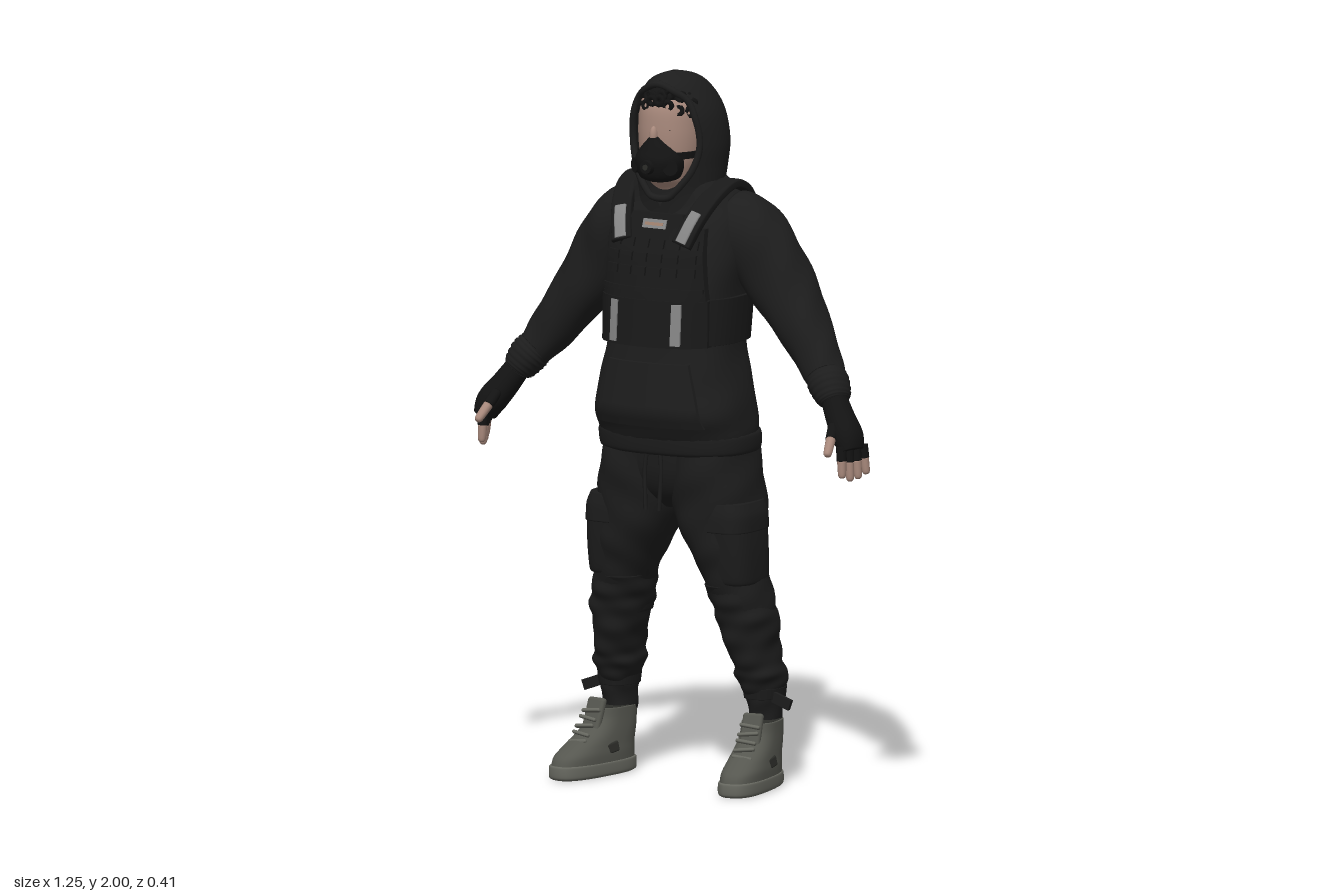
import * as THREE from 'three';
import { RoundedBoxGeometry } from 'three/addons/geometries/RoundedBoxGeometry.js';

const V = (x, y, z) => new THREE.Vector3(x, y, z);
const mat = (name, color, side = THREE.FrontSide) => {
  const m = new THREE.MeshStandardMaterial({ color, side });
  m.name = name;
  return m;
};
const spow = (v, e) => Math.sign(v) * Math.pow(Math.abs(v), e);

// Smooth interpolation through rows of numbers, t from 0 to 1
function sample(rows, t) {
  const f = t * (rows.length - 1), i = Math.min(Math.floor(f), rows.length - 2), u = f - i;
  return rows[i].map((b, k) => {
    const c = rows[i + 1][k], a = (rows[i - 1] || rows[i])[k], d = (rows[i + 2] || rows[i + 1])[k];
    return b + 0.5 * u * (c - a + u * (2 * a - 5 * b + 4 * c - d + u * (3 * (b - c) + d - a)));
  });
}

// Skin over rings [x, y, z, radiusU, radiusW, frontGap]; rings lie flat unless ref is given
function loft(rows, { n = 32, m = rows.length * 6, p = 2.2, ref = null, wave = 0, folds = 0 } = {}) {
  const open = rows[0].length > 5, cols = open ? n + 1 : n, pos = [], idx = [];
  for (let i = 0; i <= m; i++) {
    const t = i / m, [x, y, z, a, b, gap = 0] = sample(rows, t), g = Math.max(gap, 0);
    let U = V(1, 0, 0), W = V(0, 0, 1);
    if (ref) {
      const T = V(...sample(rows, Math.min(t + 0.02, 1))).sub(V(...sample(rows, Math.max(t - 0.02, 0)))).normalize();
      U = T.clone().cross(ref).normalize();
      W = U.clone().cross(T);
    }
    for (let j = 0; j < cols; j++) {
      const th = Math.PI / 2 + g + (j / n) * (2 * Math.PI - 2 * g);
      const k = 1 + wave * Math.sin(3 * th + 8 * t) * Math.sin(25 * t + th) + folds * Math.sin(50 * t + 1.5 * Math.sin(th));
      const q = V(x, y, z).addScaledVector(U, a * k * spow(Math.cos(th), 2 / p)).addScaledVector(W, b * k * spow(Math.sin(th), 2 / p));
      pos.push(q.x, q.y, q.z);
    }
  }
  for (let i = 0; i < m; i++) for (let j = 0; j < n; j++) {
    const a = i * cols + j, b = i * cols + (j + 1) % cols, c = a + cols, d = b + cols;
    idx.push(a, c, b, b, c, d);
  }
  if (!open) for (const [i, flip] of [[0, false], [m, true]]) {
    const r = sample(rows, i / m), c = pos.length / 3;
    pos.push(r[0], r[1], r[2]);
    for (let j = 0; j < n; j++) {
      const a = i * cols + j, b = i * cols + (j + 1) % cols;
      idx.push(c, flip ? b : a, flip ? a : b);
    }
  }
  const geo = new THREE.BufferGeometry();
  geo.setAttribute('position', new THREE.Float32BufferAttribute(pos, 3));
  geo.setIndex(idx);
  geo.computeVertexNormals();
  return geo;
}

function add(parent, name, geo, material, pos = [0, 0, 0], rot = [0, 0, 0], scale = [1, 1, 1]) {
  const mesh = new THREE.Mesh(geo, material);
  mesh.name = name;
  mesh.position.set(...pos);
  mesh.rotation.set(...rot);
  mesh.scale.set(...scale);
  parent.add(mesh);
}

// Copy of a left-hand group reflected to the right
function mirrored(group, name) {
  const out = new THREE.Group();
  out.name = name;
  group.updateMatrixWorld(true);
  group.traverse(o => {
    if (!o.isMesh) return;
    const g = o.geometry.clone().applyMatrix4(o.matrixWorld).scale(-1, 1, 1);
    const src = g.index ? Array.from(g.index.array) : Array.from({ length: g.attributes.position.count }, (_, i) => i);
    for (let i = 0; i < src.length; i += 3) [src[i], src[i + 1]] = [src[i + 1], src[i]];
    g.setIndex(src);
    g.computeVertexNormals();
    add(out, o.name, g, o.material);
  });
  return out;
}

const TORSO = [[0, 0.95, -0.01, 0.22, 0.15], [0, 1.0, 0, 0.228, 0.165], [0, 1.06, 0.014, 0.226, 0.178],
  [0, 1.15, 0.014, 0.207, 0.168], [0, 1.25, 0.008, 0.19, 0.163], [0, 1.38, -0.003, 0.196, 0.163],
  [0, 1.5, -0.02, 0.208, 0.158], [0, 1.58, -0.034, 0.2, 0.14], [0, 1.64, -0.035, 0.172, 0.12], [0, 1.7, -0.02, 0.12, 0.1]];
const TP = 2.5;
function torsoAt(y) {
  let i = 0;
  while (i < TORSO.length - 2 && TORSO[i + 1][1] < y) i++;
  const u = THREE.MathUtils.clamp((y - TORSO[i][1]) / (TORSO[i + 1][1] - TORSO[i][1]), 0, 1);
  return TORSO[i].map((v, k) => v + u * (TORSO[i + 1][k] - v));
}
// Box bent over the chest (side 1) or back (side -1)
function wrap(w, h, d, x, y, side = 1, lift = 0, taper = 0) {
  const g = new THREE.BoxGeometry(w, h, d, Math.ceil(w / 0.02), Math.ceil(h / 0.02), 1), p = g.attributes.position;
  for (let i = 0; i < p.count; i++) {
    const py = p.getY(i) + y, px = p.getX(i) * (1 - taper * (p.getY(i) / h + 0.5)) + x;
    const [, , cz, rx, rz] = torsoAt(py);
    const s = cz + side * rz * Math.pow(Math.max(0, 1 - Math.pow(Math.abs(px) / rx, TP)), 1 / TP);
    p.setXYZ(i, px, py, s + side * lift + p.getZ(i));
  }
  g.computeVertexNormals();
  return g;
}

export function createModel() {
  const model = new THREE.Group();
  model.name = 'hoodedFigure';
  const cloth = mat('hoodie black', 0x1d1d1d, THREE.DoubleSide), pants = mat('trouser black', 0x1c1c1c);
  const vest = mat('vest black', 0x191919), skin = mat('skin', 0xa8897c), dark = mat('hair and mask black', 0x131313);
  const grey = mat('strap grey', 0x868686), tan = mat('patch tan', 0xa0816f), shoe = mat('shoe grey', 0x55564f);
  const sole = mat('sole grey', 0x66675f), panel = mat('shoe dark grey', 0x2c2d29);
  const Z = V(0, 0, 1), X = V(1, 0, 0);

  // Hoodie body, hem and front pocket
  add(model, 'torso', loft(TORSO, { p: TP, wave: 0.012, n: 48 }), cloth);
  add(model, 'hem', loft([[0, 0.935, -0.01, 0.215, 0.15], [0, 0.945, -0.01, 0.23, 0.16], [0, 0.985, -0.008, 0.232, 0.165], [0, 1.0, -0.005, 0.222, 0.158]], { p: TP }), cloth);
  add(model, 'frontPocket', wrap(0.34, 0.18, 0.015, 0, 1.11, 1, 0.004, 0.25), cloth);

  // Head, hood and rim
  add(model, 'head', loft([[0, 1.6, -0.01, 0.06, 0.06], [0, 1.67, 0.005, 0.062, 0.075], [0, 1.71, 0.03, 0.068, 0.085], [0, 1.77, 0.03, 0.086, 0.098],
    [0, 1.85, 0.025, 0.092, 0.108], [0, 1.92, 0.02, 0.084, 0.103], [0, 1.96, 0.015, 0.045, 0.06]]), skin);
  const hood = [[0, 1.57, -0.025, 0.16, 0.12, 0], [0, 1.63, -0.02, 0.135, 0.12, 0], [0, 1.67, -0.014, 0.122, 0.12, 0.38], [0, 1.73, -0.017, 0.126, 0.133, 0.78],
    [0, 1.8, -0.017, 0.132, 0.141, 0.95], [0, 1.88, -0.006, 0.122, 0.141, 0.95], [0, 1.94, 0.004, 0.094, 0.12, 0.8], [0, 1.98, 0.018, 0.058, 0.084, 0], [0, 2.0, 0.026, 0.006, 0.01, 0]];
  add(model, 'hood', loft(hood, { p: 2, n: 40, m: 60 }), cloth);
  const edge = [];
  for (let i = 0; i <= 12; i++) {
    const [, y, z, a, b, gap] = sample(hood, 0.2 + i / 12 * 0.64), g = Math.max(gap, 0);
    edge.push(V(a * Math.sin(g), y, z + b * Math.cos(g)));
  }
  const rim = [...edge, ...edge.slice().reverse().map(v => V(-v.x, v.y, v.z))];
  add(model, 'hoodRim', new THREE.TubeGeometry(new THREE.CatmullRomCurve3(rim, true), 80, 0.01, 8, true), cloth);

  // Face, hair curls and mask
  const ball = new THREE.SphereGeometry(1, 16, 12);
  add(model, 'nose', ball, skin, [0, 1.83, 0.134], [0, 0, 0], [0.012, 0.028, 0.014]);
  for (const s of [-1, 1]) {
    add(model, 'eye', ball, dark, [s * 0.037, 1.847, 0.12], [0, s * 0.35, 0], [0.015, 0.004, 0.005]);
    add(model, 'maskFilter', new THREE.CylinderGeometry(0.021, 0.024, 0.03, 16), dark, [s * 0.05, 1.745, 0.13], [Math.PI / 2, 0, s * -0.6]);
  }
  for (let i = 0; i < 16; i++) {
    const a = (i % 8 - 3.5) / 3.5, row = Math.floor(i / 8);
    add(model, 'hairCurl', new THREE.TorusGeometry(0.011, 0.008, 6, 10), dark,
      [a * 0.08, 1.921 + row * 0.022 - a * a * 0.022 + 0.009 * Math.sin(i * 5), 0.124 - a * a * 0.05 - row * 0.012], [0.3 * Math.sin(i * 3), a * 0.6, i]);
  }
  add(model, 'hairCap', ball, dark, [0, 1.937, 0.04], [0, 0, 0], [0.086, 0.04, 0.075]);
  add(model, 'mask', loft([[0, 1.7, 0.08, 0.035, 0.05], [0, 1.715, 0.09, 0.058, 0.067], [0, 1.76, 0.09, 0.07, 0.08], [0, 1.795, 0.09, 0.052, 0.07], [0, 1.83, 0.098, 0.016, 0.048]]), dark);
  add(model, 'maskValve', new THREE.CylinderGeometry(0.018, 0.023, 0.022, 16), dark, [0, 1.748, 0.168], [Math.PI / 2, 0, 0]);
  add(model, 'maskValveCap', new THREE.CylinderGeometry(0.008, 0.008, 0.004, 12), panel, [0, 1.748, 0.18], [Math.PI / 2, 0, 0]);
  add(model, 'maskStrap', loft([[0, 1.765, 0.03, 0.09, 0.1], [0, 1.785, 0.03, 0.092, 0.102]]), dark);

  // Vest: belt, chest and back panels, webbing, pouch and patches
  const belt = [1.25, 1.265, 1.32, 1.365, 1.38].map(y => { const r = torsoAt(y); return [0, y, r[2], r[3] + 0.01, r[4] + 0.01]; });
  add(model, 'vestBelt', loft(belt, { p: TP, n: 48 }), vest);
  for (const side of [1, -1]) {
    const front = side > 0;
    add(model, front ? 'chestPanel' : 'backPanel', wrap(0.33, 0.2, 0.03, 0, 1.475, side, 0.008, 0.12), vest);
    add(model, 'upperFlap', wrap(0.2, 0.05, 0.026, 0, 1.585, side, 0.01, 0.2), vest);
    add(model, 'patch', wrap(0.075, 0.024, 0.006, 0, 1.583, side, 0.024), grey);
    add(model, 'patchStripe', wrap(0.058, front ? 0.008 : 0.018, 0.004, 0, 1.583, side, 0.027), tan);
  }
  add(model, 'frontPouch', wrap(0.34, 0.13, 0.026, 0, 1.312, 1, 0.015), vest);
  add(model, 'backSeam', wrap(0.3, 0.012, 0.008, 0, 1.5, -1, 0.025), vest);
  for (let r = 0; r < 3; r++) for (let c = 0; c < 6; c++)
    add(model, 'webbing', wrap(0.04, 0.024, 0.01, (c - 2.5) * 0.048, 1.455 + r * 0.038, 1, 0.026), vest);
  add(model, 'chestSeam', wrap(0.32, 0.012, 0.01, 0, 1.405, 1, 0.025), vest);

  // Left side parts, mirrored afterwards
  const left = new THREE.Group();
  left.name = 'leftSide';
  const strap = [[0.095, 1.53, 0.143], [0.118, 1.6, 0.108], [0.14, 1.66, 0.05], [0.148, 1.688, -0.025], [0.14, 1.66, -0.105], [0.12, 1.6, -0.168], [0.1, 1.53, -0.19]];
  const strapPart = (from, to, thick, width) => Array.from({ length: 9 }, (_, i) => [...sample(strap, from + (to - from) * i / 8), thick, width]);
  add(left, 'shoulderStrap', loft(strapPart(0, 1, 0.013, 0.031), { ref: X, p: 5 }), vest);
  add(left, 'frontStrapPatch', loft(strapPart(0.02, 0.2, 0.018, 0.018), { ref: X, p: 6 }), grey);
  add(left, 'backStrapPatch', loft(strapPart(0.8, 0.98, 0.018, 0.018), { ref: X, p: 6 }), grey);
  add(left, 'pouchStrip', wrap(0.026, 0.115, 0.006, 0.1, 1.312, 1, 0.03), grey);

  // Sleeve, cuff and fingerless glove
  add(left, 'sleeve', loft([[0.12, 1.58, -0.045, 0.09, 0.085], [0.19, 1.54, -0.057, 0.112, 0.1], [0.265, 1.455, -0.062, 0.099, 0.093], [0.345, 1.345, -0.055, 0.082, 0.084],
    [0.42, 1.24, -0.035, 0.065, 0.07], [0.475, 1.165, -0.01, 0.05, 0.056], [0.5, 1.13, 0.005, 0.044, 0.048]], { ref: Z, wave: 0.04, m: 50 }), cloth);
  add(left, 'cuff', loft([[0.468, 1.178, -0.012, 0.05, 0.055], [0.485, 1.156, -0.002, 0.054, 0.06], [0.508, 1.122, 0.01, 0.046, 0.052], [0.516, 1.11, 0.014, 0.036, 0.042]], { ref: Z, folds: 0.03 }), cloth);
  add(left, 'glove', loft([[0.505, 1.13, 0.01, 0.034, 0.036], [0.54, 1.075, 0.03, 0.038, 0.042], [0.576, 1.025, 0.048, 0.04, 0.048], [0.594, 0.985, 0.054, 0.028, 0.044]], { ref: Z }), dark);
  const digit = (name, a, b, r) => {
    const mid = a.map((v, k) => v + 0.45 * (b[k] - v)), end = a.map((v, k) => v + 0.9 * (b[k] - v));
    add(left, name + 'Glove', loft([[...a, r * 1.15, r * 1.15], [...mid, r * 1.1, r * 1.1]], { ref: Z, n: 12 }), dark);
    add(left, name, loft([[...mid, r, r], [...end, r * 0.85, r * 0.85], [...b, r * 0.4, r * 0.4]], { ref: Z, n: 12 }), skin);
  };
  for (let f = 0; f < 4; f++)
    digit('finger', [0.58 + f * 0.009, 1.0, 0.088 - f * 0.023], [0.584 + f * 0.011, 0.898 + Math.abs(f - 1.3) * 0.011, 0.09 - f * 0.025], 0.0125);
  digit('thumb', [0.545, 1.055, 0.07], [0.567, 0.98, 0.143], 0.0135);

  // Trouser leg with bunched shin, cargo pocket, ankle band and loose strap
  add(left, 'trouserLeg', loft([[0.202, 0.46, -0.035, 0.076, 0.09], [0.193, 0.53, -0.025, 0.082, 0.098], [0.172, 0.6, -0.014, 0.083, 0.106], [0.148, 0.67, -0.012, 0.098, 0.12],
    [0.126, 0.76, -0.02, 0.12, 0.138], [0.116, 0.86, -0.018, 0.118, 0.147], [0.108, 0.96, -0.015, 0.11, 0.14]], { wave: 0.03, m: 40 }), pants);
  add(left, 'bunchedShin', loft([[0.235, 0.17, -0.075, 0.042, 0.054], [0.236, 0.23, -0.075, 0.046, 0.06], [0.234, 0.27, -0.07, 0.054, 0.07], [0.229, 0.31, -0.064, 0.066, 0.084],
    [0.222, 0.35, -0.055, 0.062, 0.086], [0.212, 0.41, -0.04, 0.069, 0.09], [0.205, 0.47, -0.032, 0.08, 0.096], [0.19, 0.52, -0.024, 0.082, 0.098], [0.18, 0.57, -0.016, 0.08, 0.1]], { wave: 0.05, folds: 0.018, m: 70 }), pants);
  const pocketRings = [[0.2, 0.575, -0.005, 0.055, 0.082], [0.195, 0.59, -0.002, 0.066, 0.09], [0.19, 0.68, 0.005, 0.073, 0.096], [0.182, 0.77, 0.008, 0.074, 0.1], [0.178, 0.795, 0.008, 0.066, 0.095]];
  add(left, 'cargoPocket', loft(pocketRings, { p: 3 }), pants);
  add(left, 'pocketFlap', loft([[0.184, 0.725, 0.008, 0.079, 0.104], [0.182, 0.77, 0.008, 0.079, 0.104], [0.178, 0.805, 0.008, 0.07, 0.098]], { p: 3 }), pants);
  add(left, 'ankleBand', loft([[0.235, 0.245, -0.073, 0.052, 0.067], [0.235, 0.275, -0.072, 0.056, 0.071]]), pants);
  add(left, 'looseStrap', new THREE.BoxGeometry(0.08, 0.03, 0.012), pants, [0.297, 0.246, -0.045], [0, 0, -0.35]);
  add(left, 'drawcord', new THREE.TubeGeometry(new THREE.CatmullRomCurve3([V(0.02, 0.95, 0.135), V(0.026, 0.9, 0.138), V(0.022, 0.78, 0.142)]), 12, 0.006, 6), pants);

  // High-top shoe, turned slightly outward
  const foot = new THREE.Group();
  foot.name = 'shoe';
  foot.position.set(0.25, 0, 0);
  foot.rotation.y = 0.16;
  left.add(foot);
  add(foot, 'sole', loft([[0, 0, 0.038, 0.054, 0.15], [0, 0.008, 0.038, 0.062, 0.16], [0, 0.035, 0.038, 0.062, 0.16], [0, 0.04, 0.038, 0.058, 0.155]], { p: 2.7 }), sole);
  add(foot, 'upper', loft([[0, 0.035, 0.038, 0.059, 0.155], [0, 0.062, 0.032, 0.059, 0.147], [0, 0.088, 0.01, 0.056, 0.126], [0, 0.125, -0.026, 0.053, 0.095], [0, 0.155, -0.043, 0.051, 0.08], [0, 0.185, -0.048, 0.05, 0.075]], { p: 2.6 }), shoe);
  add(foot, 'ankleOpening', loft([[0, 0.18, -0.048, 0.046, 0.07], [0, 0.187, -0.048, 0.046, 0.07]], { p: 2.6, m: 2 }), panel);
  add(foot, 'tongue', new RoundedBoxGeometry(0.06, 0.1, 0.02, 3, 0.009), shoe, [0, 0.165, 0.032], [-0.35, 0, 0]);
  add(foot, 'toePanel', ball, panel, [0, 0.078, 0.098], [0.5, 0, 0], [0.047, 0.02, 0.052]);
  for (let i = 0; i < 5; i++)
    add(foot, 'lace', new RoundedBoxGeometry(0.062, 0.01, 0.012, 2, 0.004), sole, [0, 0.1 + i * 0.02, 0.103 - i * 0.0145], [-0.6, 0, i % 2 ? 0.12 : -0.12]);
  for (const s of [-1, 1])
    add(foot, 'sidePanel', new RoundedBoxGeometry(0.012, 0.03, 0.07, 2, 0.005), panel, [s * 0.052, 0.075, 0.03], [0.2, s * -0.15, s * 0.12]);

  // Hips join both legs
  add(model, 'hips', loft([[0, 0.775, -0.03, 0.05, 0.08], [0, 0.82, -0.025, 0.15, 0.12], [0, 0.88, -0.02, 0.205, 0.138], [0, 0.96, -0.015, 0.212, 0.14]]), pants);
  model.add(left, mirrored(left, 'rightSide'));
  return model;
}
